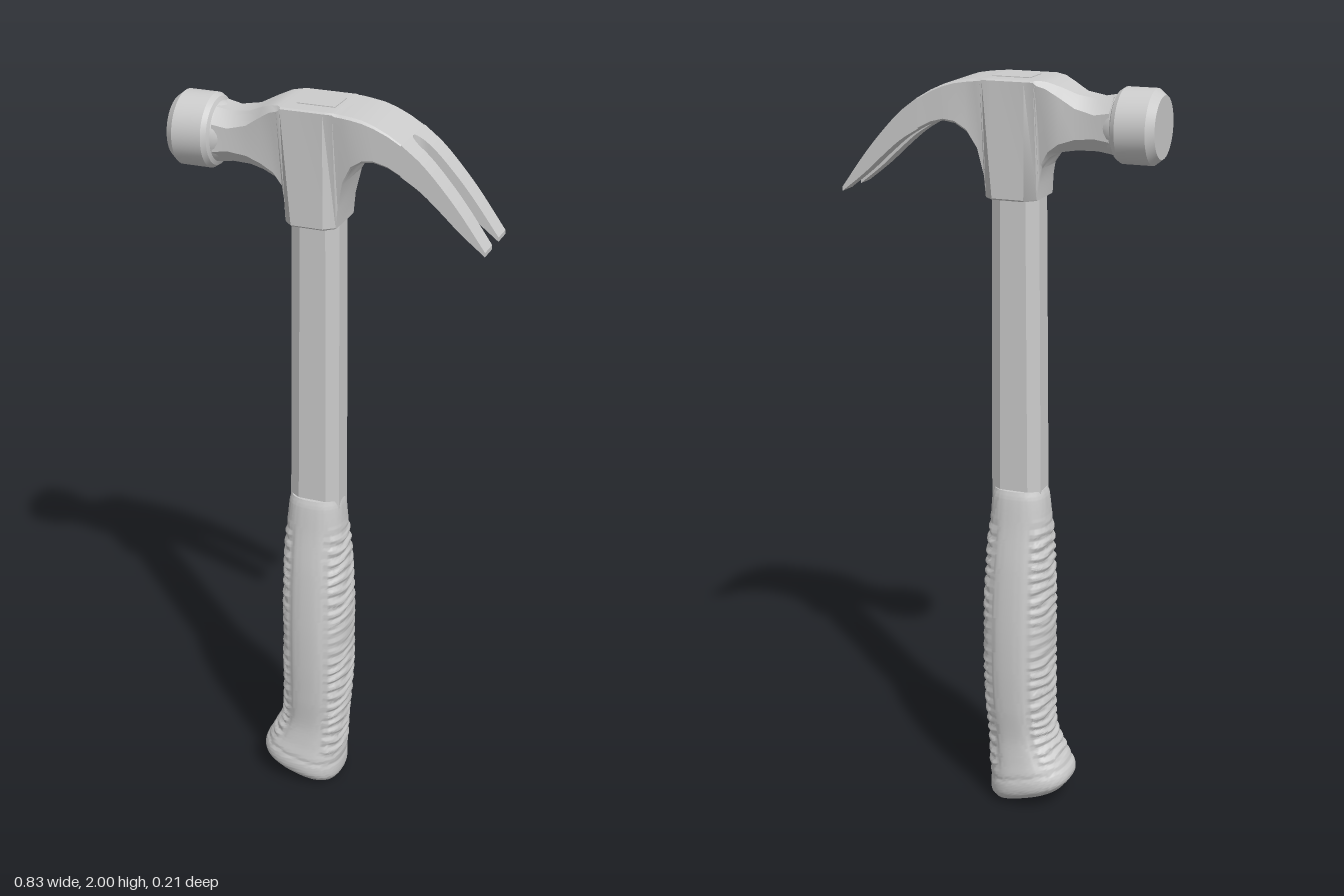
import * as THREE from 'three';
import { toCreasedNormals } from 'three/addons/utils/BufferGeometryUtils.js';

const material = new THREE.MeshStandardMaterial({ color: 0xcccccc });
const step = THREE.MathUtils.smoothstep;

// Skin over a row of rings (each counter-clockwise about the direction of travel), capped at both ends.
function loft(rings, crease) {
  const n = rings[0].length, index = [];
  const points = rings.flat();
  rings.slice(1).forEach((_, i) => {
    for (let j = 0; j < n; j++) {
      const a = i * n + j, b = i * n + (j + 1) % n;
      index.push(a, b, b + n, a, b + n, a + n);
    }
  });
  [0, rings.length - 1].forEach((r) => {
    const centre = new THREE.Vector3();
    rings[r].forEach((p) => centre.addScaledVector(p, 1 / n));
    const c = points.push(centre) - 1;
    for (let j = 0; j < n; j++) {
      const a = r * n + j, b = r * n + (j + 1) % n;
      index.push(c, ...(r === 0 ? [b, a] : [a, b]));
    }
  });
  const geometry = new THREE.BufferGeometry().setFromPoints(points);
  geometry.setIndex(index);
  return toCreasedNormals(geometry, crease);
}

// Smooth interpolation through rows of [key, value, value, ...].
function sample(rows, k) {
  let i = 0;
  while (i < rows.length - 2 && k > rows[i + 1][0]) i++;
  const a = rows[i], b = rows[i + 1];
  const p = rows[Math.max(i - 1, 0)], q = rows[Math.min(i + 2, rows.length - 1)];
  const h = b[0] - a[0], t = THREE.MathUtils.clamp((k - a[0]) / h, 0, 1);
  return a.slice(1).map((va, m) => {
    const vb = b[m + 1];
    const ma = (vb - p[m + 1]) / (b[0] - p[0]) * h, mb = (q[m + 1] - va) / (q[0] - a[0]) * h;
    const t2 = t * t, t3 = t2 * t;
    return (2 * t3 - 3 * t2 + 1) * va + (t3 - 2 * t2 + t) * ma + (3 * t2 - 2 * t3) * vb + (t3 - t2) * mb;
  });
}

function add(group, name, geometry) {
  const mesh = new THREE.Mesh(geometry, material);
  mesh.name = name;
  group.add(mesh);
  return mesh;
}

// Neck, socket and root of the claw: x, bottom, top, upper half width, lower half width, chamfer
const BODY = [
  [-0.30, 1.825, 1.965, 0.070, 0.070, 0.035],
  [-0.26, 1.830, 1.958, 0.066, 0.066, 0.035],
  [-0.21, 1.830, 1.966, 0.066, 0.066, 0.030],
  [-0.17, 1.825, 1.985, 0.075, 0.070, 0.022],
  [-0.14, 1.810, 1.997, 0.083, 0.062, 0.015],
  [-0.12, 1.780, 2.000, 0.086, 0.055, 0.012],
  [-0.113, 1.740, 2.000, 0.087, 0.055, 0.008],
  [-0.11, 1.700, 2.000, 0.087, 0.058, 0.004],
  [-0.085, 1.700, 2.000, 0.087, 0.085, 0.004],
  [0.00, 1.700, 2.000, 0.087, 0.085, 0.004],
  [0.025, 1.700, 2.000, 0.087, 0.062, 0.004],
  [0.03, 1.750, 1.999, 0.087, 0.062, 0.006],
  [0.045, 1.820, 1.998, 0.087, 0.070, 0.006],
  [0.07, 1.865, 1.995, 0.086, 0.080, 0.006],
  [0.10, 1.885, 1.990, 0.086, 0.085, 0.006],
  [0.13, 1.890, 1.980, 0.086, 0.086, 0.005],
  [0.165, 1.882, 1.964, 0.085, 0.085, 0.004],
  [0.20, 1.865, 1.943, 0.085, 0.085, 0.003],
];
function bodyRing([x, bottom, top, w, wb, c]) {
  return [[top, w - c], [top - c, w], [bottom + c, wb], [bottom, wb - c],
    [bottom, c - wb], [bottom + c, -wb], [top - c, -w], [top, c - w]]
    .map(([y, z]) => new THREE.Vector3(x, y, z));
}

// Claw prongs: x, bottom, top
const CLAW = [[0.2, 1.865, 1.943], [0.25, 1.833, 1.904], [0.3, 1.79, 1.852], [0.35, 1.744, 1.792], [0.415, 1.692, 1.703]];
function prong(side) {
  const rings = [];
  for (let i = 0; i <= 24; i++) {
    const x = 0.2 + 0.215 * (i / 24) ** 1.5;
    const [bottom, top] = sample(CLAW, x);
    const f = Math.min((x - 0.2) / 0.03, 1);
    const inner = 0.001 + 0.019 * Math.sqrt(f * (2 - f)) + 0.006 * (x - 0.2) / 0.215;
    const outer = 0.085 - 0.003 * (x - 0.2) / 0.215;
    const ring = [[top, inner], [top, outer], [bottom, outer], [bottom, inner]]
      .map(([y, z]) => new THREE.Vector3(x, y, z * side));
    rings.push(side > 0 ? ring : ring.reverse());
  }
  return loft(rings, 0.6);
}

// Grip: y, -x edge, +x edge, half depth
const GRIP = [
  [0.008, -0.185, 0.012, 0.088], [0.03, -0.203, 0.024, 0.104], [0.07, -0.195, 0.026, 0.105],
  [0.13, -0.168, 0.026, 0.096], [0.2, -0.146, 0.029, 0.091], [0.3, -0.139, 0.037, 0.098],
  [0.42, -0.138, 0.041, 0.103], [0.55, -0.138, 0.042, 0.102], [0.7, -0.135, 0.037, 0.092],
  [0.82, -0.131, 0.03, 0.076], [0.9, -0.124, 0.025, 0.066], [0.92, -0.118, 0.021, 0.06],
];
function gripRing(row) {
  const [x0, x1, depth] = sample(GRIP, row);
  const cx = (x0 + x1) / 2, hx = (x1 - x0) / 2, ring = [];
  for (let j = 0; j < 72; j++) {
    const a = j / 72 * Math.PI * 2, s = Math.sin(a), c = Math.cos(a);
    const ux = Math.sign(s) * Math.abs(s) ** 0.8, uz = Math.sign(c) * Math.abs(c) ** 0.8;
    // Ribbed pads on the two narrow sides, bordered by a groove
    const ends = step(row, 0.08, 0.13) * (1 - step(row, 0.78, 0.86));
    const pad = step(Math.abs(ux), 0.6, 0.72) * ends;
    const groove = Math.exp(-(((Math.abs(ux) - 0.58) / 0.05) ** 2)) * ends
      + Math.exp(-(((row - 0.075) / 0.006) ** 2));
    const strength = 0.0035 * (1 - 0.6 * Math.exp(-(((row - 0.5) / 0.06) ** 2)));
    const rib = Math.cos((row + 0.004 * Math.sin(uz * 5 + row * 40)) * Math.PI * 2 / 0.031);
    const grow = pad * (0.002 + strength * rib) - 0.003 * groove;
    const x = cx + ux * (hx + grow);
    const tilt = -0.27 * x * (1 - step(row, 0.02, 0.3));
    ring.push(new THREE.Vector3(x, row + tilt, uz * (depth + grow)));
  }
  return ring;
}

export function createModel() {
  const model = new THREE.Group();
  model.name = 'clawHammer';

  const head = new THREE.Group();
  head.name = 'head';
  model.add(head);
  add(head, 'headBody', loft(BODY.map(bodyRing), 0.6));
  add(head, 'leftBackProng', prong(-1));
  add(head, 'leftFrontProng', prong(1));

  // Striking face, turned about the x axis
  const profile = [[0, -0.418], [0.078, -0.418], [0.094, -0.398], [0.094, -0.32], [0.086, -0.308],
    [0.076, -0.303], [0.074, -0.295], [0.064, -0.275], [0, -0.265]].map(([r, x]) => new THREE.Vector2(r, x));
  const face = add(head, 'strikingFace', toCreasedNormals(new THREE.LatheGeometry(profile, 40), 0.5));
  face.rotation.z = -Math.PI / 2;
  face.position.y = 1.893;

  // Wedge showing in the eye on top
  const wedge = add(head, 'eyeWedge', new THREE.BoxGeometry(0.1, 0.01, 0.08));
  wedge.position.set(-0.035, 1.997, 0);

  // Shaft with chamfered corners
  const shaftRing = (y, x0, x1, d, cx = 0.03, cz = 0.02) =>
    [[x0 + cx, d], [x1 - cx, d], [x1, d - cz], [x1, cz - d], [x1 - cx, -d], [x0 + cx, -d], [x0, cz - d], [x0, d - cz]]
      .map(([x, z]) => new THREE.Vector3(x, y, z));
  add(model, 'shaft', loft([shaftRing(0.88, -0.116, 0.022, 0.05), shaftRing(1.72, -0.106, 0.022, 0.048)], 0.5));

  const rows = 200;
  add(model, 'grip', loft(Array.from({ length: rows + 1 }, (_, i) => gripRing(0.008 + 0.912 * i / rows)), 0.9));
  return model;
}
